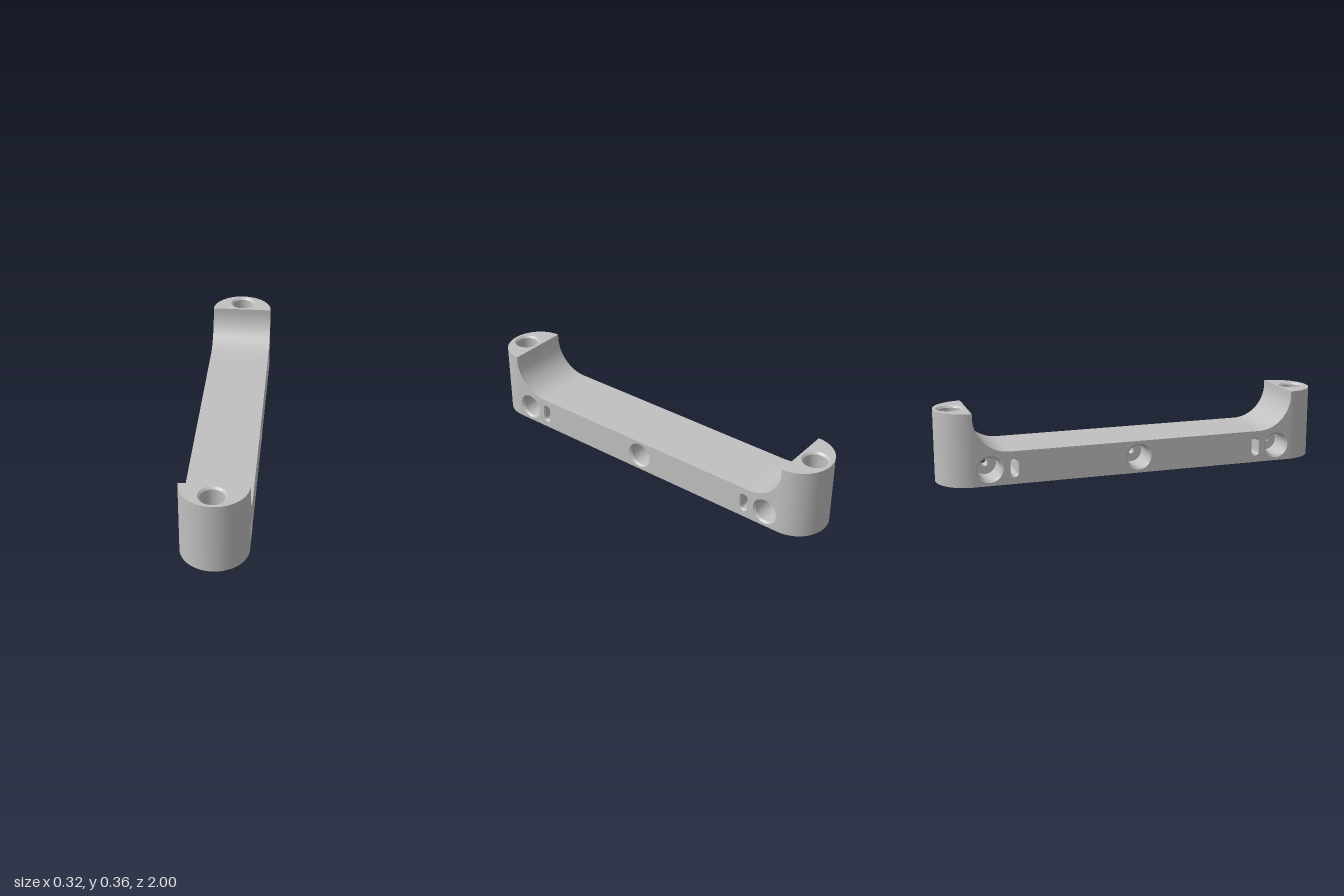
import * as THREE from 'three';
import { mergeGeometries } from 'three/addons/utils/BufferGeometryUtils.js';

const W = 0.1625;            // half width, also the radius of the rounded ends
const ZC = 1 - W;            // centre of the rounded ends
const BAR = 0.165, TOP = 0.363;
const R = 0.1765;            // fillet radius between bar and end posts
const FZ = ZC - R, FY = BAR + R;
const N = 48;
const BORE = 0.067, SLOT = 0.023, SLOT_H = 0.026;
const POST_Z = 0.918, SIDE_Y = 0.083;

// closed loop: circle (h = 0), upright slot (h > 0) or hexagon
function loop(r, h = 0, hex = false) {
  return Array.from({ length: N }, (_, i) => {
    const t = ((i + 0.5) / N) * Math.PI * 2;
    const sector = Math.PI / 3;
    const k = hex ? r * Math.cos(Math.PI / 6) / Math.cos(t - sector * Math.round(t / sector)) : r;
    return new THREE.Vector2(k * Math.cos(t), k * Math.sin(t) + Math.sign(Math.sin(t)) * h);
  });
}

function cut(shape, x, y, r, h = 0) {
  shape.holes.push(new THREE.Path(loop(r, h).map(p => p.add(new THREE.Vector2(x, y)))));
}

function gridGeometry(positions, index) {
  const g = new THREE.BufferGeometry();
  g.setAttribute('position', new THREE.Float32BufferAttribute(positions, 3));
  g.setIndex(index);
  g.computeVertexNormals();
  return g;
}

// inward-facing walls through successive sections [radius, depth, hex], opening towards +z
function recess(sections, h = 0) {
  const bands = [];
  for (let s = 0; s < sections.length - 1; s++) {
    const pos = [], idx = [];
    for (const [r, d, hex] of [sections[s], sections[s + 1]])
      loop(r, h, hex).forEach(p => pos.push(p.x, p.y, -d));
    for (let i = 0; i < N; i++) {
      const j = (i + 1) % N;
      idx.push(i, j, i + N, j, j + N, i + N);
    }
    bands.push(gridGeometry(pos, idx));
  }
  return mergeGeometries(bands);
}

// counterbore with a bevelled rim and a hexagonal through hole
const counterbore = half => recess([
  [BORE, 0], [0.057, 0.01], [0.057, 0.13], [0.018, 0.13, true], [0.018, half, true],
]);

// strip spanning the width along a path of [z, y] points
function ribbon(path) {
  const pos = [], idx = [];
  path.forEach(([z, y], i) => {
    pos.push(-W, y, z, W, y, z);
    if (i) {
      const a = 2 * (i - 1);
      idx.push(a, a + 1, a + 2, a + 1, a + 3, a + 2);
    }
  });
  return gridGeometry(pos, idx);
}

export function createModel() {
  const grey = new THREE.MeshStandardMaterial({ color: 0xc0c0c0 });
  grey.name = 'plain grey';
  const model = new THREE.Group();
  model.name = 'mountingBracket';
  const add = (parent, name, geometry) => {
    const mesh = new THREE.Mesh(geometry, grey);
    mesh.name = name;
    parent.add(mesh);
  };

  // underside and bar top
  const base = new THREE.Shape();
  base.absarc(0, ZC, W, 0, Math.PI);
  base.absarc(0, -ZC, W, Math.PI, Math.PI * 2);
  for (const s of [1, -1]) cut(base, 0, s * POST_Z, BORE);
  add(model, 'underside', new THREE.ShapeGeometry(base, 32).rotateX(Math.PI / 2));
  add(model, 'barTop', ribbon([[FZ, BAR], [-FZ, BAR]]));

  // flat side profile with its holes
  const profile = new THREE.Shape();
  profile.moveTo(-ZC, 0);
  profile.lineTo(ZC, 0);
  profile.lineTo(ZC, TOP);
  profile.lineTo(ZC, FY);
  profile.absarc(FZ, FY, R, 0, -Math.PI / 2, true);
  profile.absarc(-FZ, FY, R, -Math.PI / 2, -Math.PI, true);
  profile.lineTo(-ZC, TOP);
  profile.closePath();
  const boreZ = [-0.76, 0, 0.76], slotZ = [-0.64, 0.64];
  boreZ.forEach(z => cut(profile, z, SIDE_Y, BORE));
  slotZ.forEach(z => cut(profile, z, SIDE_Y, SLOT, SLOT_H));

  for (const turn of [0, Math.PI]) {
    // side wall with bores and slots, repeated on the opposite side
    const side = new THREE.Group();
    side.name = turn ? 'rightSide' : 'leftSide';
    side.rotation.y = turn;
    model.add(side);
    const toSide = g => g.rotateY(Math.PI / 2);
    add(side, 'sideWall', toSide(new THREE.ShapeGeometry(profile, 24)).translate(W, 0, 0));
    boreZ.forEach(z => add(side, 'sideBore', toSide(counterbore(W)).translate(W, SIDE_Y, z)));
    slotZ.forEach(z => add(side, 'sideSlot',
      toSide(recess([[SLOT, 0], [0.017, 0.007], [0.017, W]], SLOT_H)).translate(W, SIDE_Y, z)));

    // rounded end post, repeated at the opposite end
    const post = new THREE.Group();
    post.name = turn ? 'backPost' : 'frontPost';
    post.rotation.y = turn;
    model.add(post);
    add(post, 'roundedEnd', new THREE.CylinderGeometry(W, W, TOP, 64, 1, true, -Math.PI / 2, Math.PI)
      .translate(0, TOP / 2, ZC));
    const cap = new THREE.Shape();
    cap.absarc(0, -ZC, W, Math.PI, Math.PI * 2);
    cut(cap, 0, -POST_Z, BORE);
    add(post, 'postTop', new THREE.ShapeGeometry(cap, 32).rotateX(-Math.PI / 2).translate(0, TOP, 0));
    add(post, 'topBore', counterbore(TOP / 2).rotateX(-Math.PI / 2).translate(0, TOP, POST_Z));
    add(post, 'bottomBore', counterbore(TOP / 2).rotateX(Math.PI / 2).translate(0, 0, POST_Z));
    const arc = Array.from({ length: 25 }, (_, i) => {
      const t = -(i / 24) * Math.PI / 2;
      return [FZ + R * Math.cos(t), FY + R * Math.sin(t)];
    });
    add(post, 'postFillet', ribbon([[ZC, TOP], ...arc]));
  }
  return model;
}
